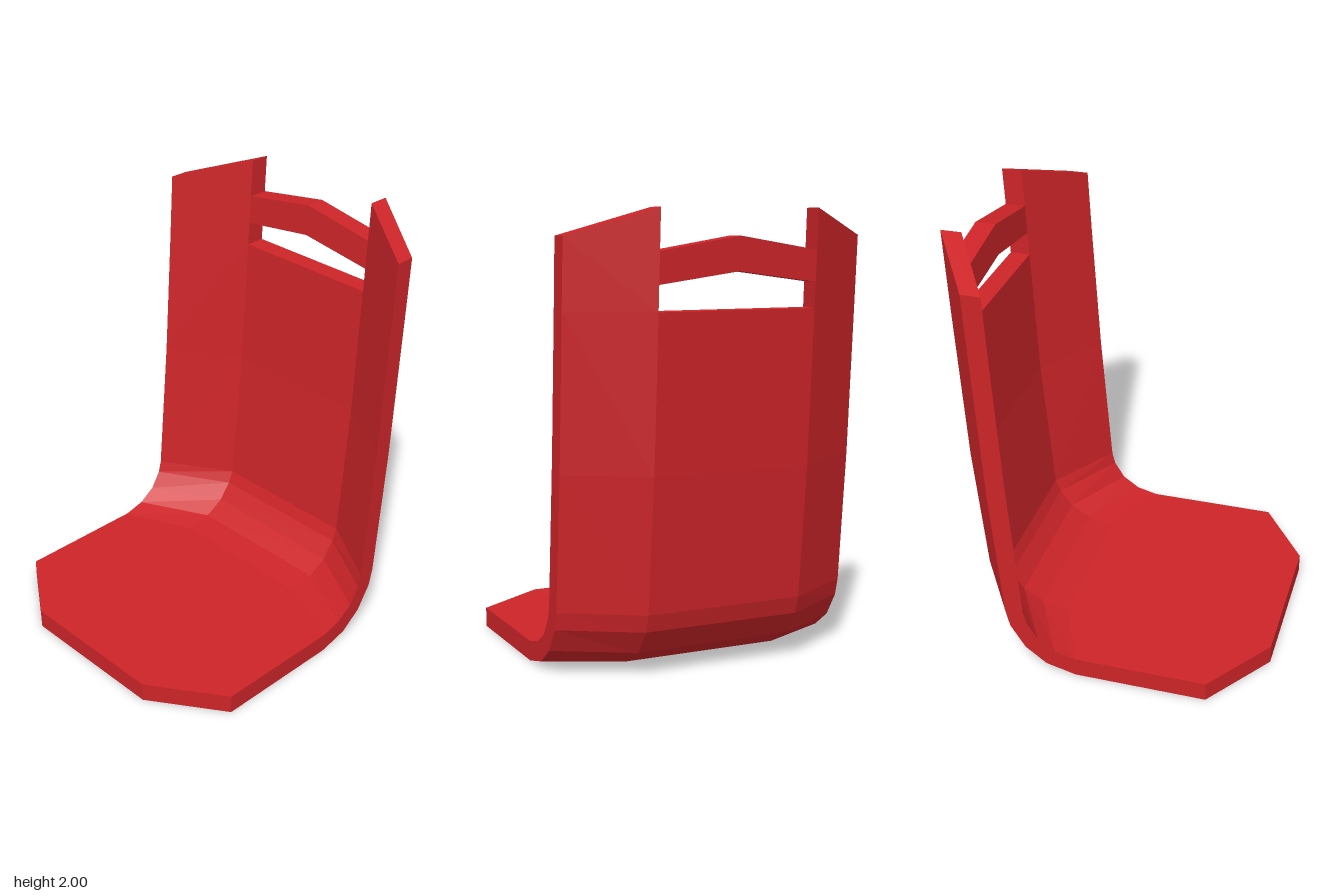
import * as THREE from 'three';

const Z_MID = 0.365, Z_EDGE = 0.7;

// Shell profile stations from seat lip to top: [outerX, outerY, innerX, innerY]
const MIDDLE = [
  [-0.755, 0, -0.755, 0.09], [0.23, 0, 0.235, 0.09], [0.39, 0.035, 0.36, 0.115],
  [0.52, 0.11, 0.455, 0.17], [0.6, 0.22, 0.515, 0.25], [0.625, 0.3, 0.54, 0.31],
  [0.685, 0.9, 0.6, 0.97], [0.727, 1.58, 0.633, 1.58], [0.75, 2, 0.655, 2],
];
const EDGE = [
  [-0.525, 0, -0.525, 0.09], [0.09, 0, 0.09, 0.09], [0.23, 0.035, 0.19, 0.115],
  [0.33, 0.11, 0.27, 0.17], [0.4, 0.22, 0.32, 0.25], [0.42, 0.3, 0.335, 0.31],
  [0.475, 0.9, 0.39, 0.97], [0.517, 1.58, 0.428, 1.58], [0.535, 1.885, 0.445, 1.885],
];
const SLOT = 7; // station at the bottom of the hand slot

// Lofts a slab through sections of increasing z; end faces start at the given stations
function loft(sections, startCap = Infinity, endCap = Infinity) {
  const pos = [];
  const quad = (a, b, c, d) => pos.push(...a, ...b, ...c, ...a, ...c, ...d);
  const outer = (s, i) => [s.stations[i][0], s.stations[i][1], s.z];
  const inner = (s, i) => [s.stations[i][2], s.stations[i][3], s.z];
  const last = sections[0].stations.length - 1;

  for (let k = 0; k < sections.length - 1; k++) {
    const a = sections[k], b = sections[k + 1];
    for (let i = 0; i < last; i++) {
      quad(inner(a, i), inner(b, i), inner(b, i + 1), inner(a, i + 1));
      quad(outer(a, i), outer(a, i + 1), outer(b, i + 1), outer(b, i));
    }
    quad(outer(a, 0), outer(b, 0), inner(b, 0), inner(a, 0));
    quad(inner(a, last), inner(b, last), outer(b, last), outer(a, last));
  }
  const first = sections[0], final = sections[sections.length - 1];
  for (let i = 0; i < last; i++) {
    if (i >= startCap) quad(outer(first, i), inner(first, i), inner(first, i + 1), outer(first, i + 1));
    if (i >= endCap) quad(outer(final, i), outer(final, i + 1), inner(final, i + 1), inner(final, i));
  }
  const geometry = new THREE.BufferGeometry();
  geometry.setAttribute('position', new THREE.Float32BufferAttribute(pos, 3));
  geometry.computeVertexNormals();
  return geometry;
}

export function createModel() {
  const group = new THREE.Group();
  group.name = 'seatShell';
  const material = new THREE.MeshStandardMaterial({ color: 0xcc2428, flatShading: true });
  const add = (name, geometry) => {
    const mesh = new THREE.Mesh(geometry, material);
    mesh.name = name;
    group.add(mesh);
  };

  // Middle of the seat and back, up to the hand slot
  const panel = MIDDLE.slice(0, SLOT + 1);
  add('seatAndBackPanel', loft([{ z: -Z_MID, stations: panel }, { z: Z_MID, stations: panel }]));

  // Angled side wings, with their inner ends exposed above the slot
  add('frontWing', loft([{ z: Z_MID, stations: MIDDLE }, { z: Z_EDGE, stations: EDGE }], SLOT, 0));
  add('rearWing', loft([{ z: -Z_EDGE, stations: EDGE }, { z: -Z_MID, stations: MIDDLE }], 0, SLOT));

  // Peaked grab rail following the lean of the back
  const lean = (y) => {
    const t = (y - 1.58) / 0.42;
    return [0.727 + 0.023 * t, y, 0.633 + 0.022 * t, y];
  };
  const rail = (z, low, high) => ({ z, stations: [lean(low), lean(high)] });
  add('grabRail', loft([rail(-Z_MID, 1.69, 1.825), rail(0, 1.74, 1.885), rail(Z_MID, 1.69, 1.825)]));

  return group;
}
